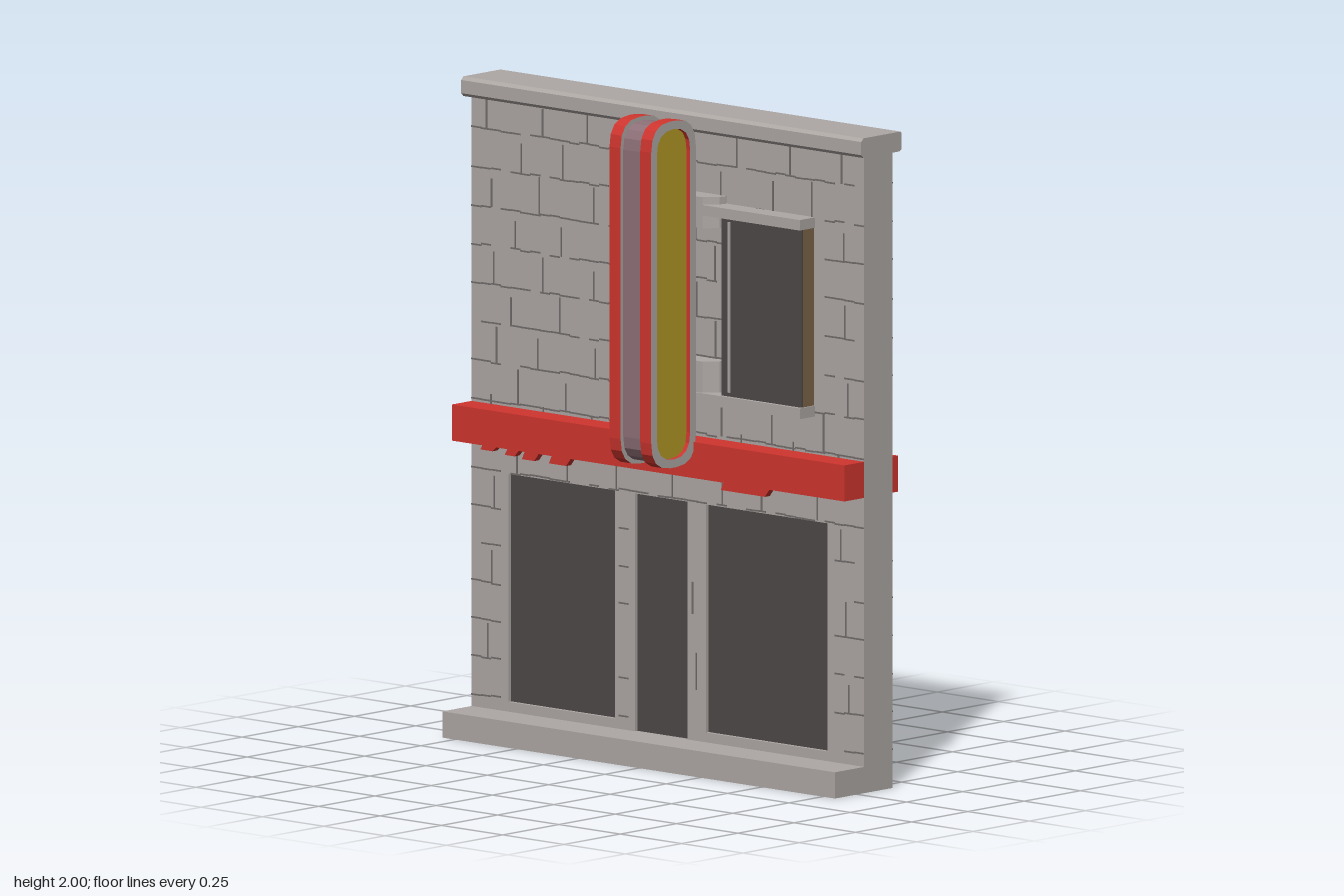
import * as THREE from 'three';
import { mergeGeometries } from 'three/addons/utils/BufferGeometryUtils.js';

const mat = (name, color) => {
  const m = new THREE.MeshStandardMaterial({ color });
  m.name = name;
  return m;
};

export function createModel() {
  const group = new THREE.Group();
  const stone = mat('stone', 0xaea8a5);
  const mortar = mat('mortar', 0x716d6b);
  const red = mat('red', 0xcf352e);
  const glass = mat('dark glass', 0x4d4947);
  const wood = mat('brown wood', 0x7c6446);
  const yellow = mat('yellow', 0xb39825);
  const mauve = mat('mauve', 0x8e7078);

  const add = (name, geo, material) => {
    const mesh = new THREE.Mesh(geo, material);
    mesh.name = name;
    group.add(mesh);
    return mesh;
  };
  // Box given by its limits on each axis
  const boxGeo = (x0, x1, y0, y1, z0, z1) =>
    new THREE.BoxGeometry(x1 - x0, y1 - y0, z1 - z0)
      .translate((x0 + x1) / 2, (y0 + y1) / 2, (z0 + z1) / 2);
  const box = (name, material, ...b) => add(name, boxGeo(...b), material);
  const polygon = pts => new THREE.Shape(pts.map(p => new THREE.Vector2(...p)));
  const rect = ([x0, x1, y0, y1]) => polygon([[x0, y0], [x1, y0], [x1, y1], [x0, y1]]);
  const extrude = (shape, depth, curveSegments = 3) =>
    new THREE.ExtrudeGeometry(shape, { depth, curveSegments, bevelEnabled: false });

  // Wall with its openings
  const FRONT = -0.03, BACK = -0.155;
  const shopA = [-0.65, -0.215, 0.11, 0.805];
  const shopB = [0.155, 0.65, 0.11, 0.805];
  const door = [-0.135, 0.08, 0.08, 0.805];
  const upper = [0.27, 0.595, 1.15, 1.7];
  const openings = [shopA, shopB, door, upper];
  const wall = rect([-0.8, 0.8, 0, 1.96]);
  wall.holes = openings.map(rect);
  add('wall', extrude(wall, FRONT - BACK).translate(0, 0, BACK), stone);

  // Plinth and cornice
  box('plinth', stone, -0.8, 0.8, 0, 0.08, FRONT, 0.1);
  const corniceSection = polygon([[-0.18, 1.945], [-0.17, 1.94], [-0.01, 1.94],
    [0, 1.95], [0, 1.99], [-0.01, 2], [-0.175, 2], [-0.18, 1.995]]);
  add('cornice', extrude(corniceSection, 1.63).rotateY(-Math.PI / 2).translate(0.815, 0, 0), stone);

  // Ground floor windows and door: dark outside, wood inside
  for (const [name, [x0, x1, y0, y1], inside] of
    [['shopWindowRight', shopA, wood], ['shopWindowLeft', shopB, wood], ['door', door, glass]]) {
    box(name + 'Outside', glass, x0, x1, y0, y1, -0.09, -0.042);
    box(name + 'Inside', inside, x0, x1, y0, y1, inside === wood ? -0.145 : -0.125, -0.09);
  }

  // Masonry joints, drawn as thin strips on both faces
  let seed = 7;
  const rand = () => (seed = (seed * 16807) % 2147483647) / 2147483647;
  const strips = [];
  const strip = (x0, x1, y0, y1, z) => strips.push(boxGeo(x0, x1, y0, y1, z - 0.002, z + 0.002));
  const courses = [];
  for (let i = 0; i < 8; i++) courses.push(0.12 + i * 0.115, 1.02 + i * 0.118);
  for (const z of [FRONT, BACK]) {
    courses.forEach((y, row) => {
      const height = 0.116;
      const blocked = (x, lo, hi) => openings.some(o =>
        x > o[0] - 0.015 && x < o[1] + 0.015 && hi > o[2] - 0.005 && lo < o[3] + 0.005);
      // Bed joint, broken into slightly uneven lengths
      for (let x = -0.8; x < 0.79; x += 0.04) {
        const dy = (rand() - 0.5) * 0.006;
        if (!blocked(x, y, y) && !blocked(x + 0.04, y, y) && rand() > 0.12)
          strip(x, x + 0.04, y + dy - 0.0025, y + dy + 0.0025, z);
      }
      // Upright joints
      const shift = (row >> 1) % 2 ? 0.1 : 0;
      for (let x = -0.62 - shift; x < 0.76; x += 0.205) {
        const px = x + (rand() - 0.5) * 0.05;
        if (!blocked(px, y, y + height) && y + height < 1.97 && Math.abs(px) < 0.78)
          strip(px - 0.0025, px + 0.0025, y, y + height * (0.75 + 0.25 * rand()), z);
      }
    });
  }
  add('masonryJoints', mergeGeometries(strips), mortar);

  // Red fascia on both faces, with paint drips under the front one
  box('fasciaFront', red, -0.8, 0.8, 0.9, 1.01, FRONT, 0.058);
  box('fasciaBack', red, -0.8, 0.8, 0.9, 1.01, -0.18, BACK);
  const drips = [[-0.71, 0.05, 0.02], [-0.61, 0.04, 0.025], [-0.54, 0.05, 0.03],
    [-0.43, 0.07, 0.03], [0.27, 0.18, 0.03], [0.4, 0.05, 0.022]];
  add('paintDrips', mergeGeometries(drips.map(([x, w, h]) =>
    extrude(polygon([[x, 0.9 - h], [x + w, 0.9 - h], [x + w + 0.025, 0.902], [x + 0.015, 0.902]]), 0.022)
      .translate(0, 0, 0.008))), red);

  // Upper window: wooden casing through the wall, glazed outside, framed inside
  const [ux0, ux1, uy0, uy1] = upper;
  const ring = (inset) => {
    const s = rect(upper);
    s.holes.push(rect([ux0 + inset, ux1 - inset, uy0 + inset, uy1 - inset]));
    return s;
  };
  box('upperWindowCasing', wood, ux0, ux1, uy0, uy1, -0.19, 0.018);
  box('upperWindowGlass', glass, ux0, ux1, uy0, uy1, 0.018, 0.026);
  box('upperWindowGlazingBar', stone, 0.297, 0.306, uy0 + 0.02, uy1 - 0.01, 0.024, 0.029);
  add('upperWindowInnerFrame', extrude(ring(0.045), 0.022).translate(0, 0, -0.212), wood);
  add('upperWindowInnerBead', extrude(ring(0.07), 0.01).translate(0, 0, -0.198), wood);

  // Lintel, sill and tapered end stones on both faces
  box('lintelFront', stone, 0.2, 0.6, 1.7, 1.732, FRONT, 0.038);
  box('lintelBack', stone, 0.2, 0.6, 1.7, 1.738, -0.218, BACK);
  box('sillFront', stone, 0.03, 0.6, 1.125, 1.158, FRONT, 0.038);
  box('sillBack', stone, 0.015, 0.6, 1.125, 1.158, -0.235, BACK);
  const endStone = (z0, z1) => polygon([[0.015, z0], [0.24, z0],
    [0.235, z0 + (z1 - z0) * 0.4], [0.2, z1], [0.03, z1], [0.015, z0 + (z1 - z0) * 0.5]]);
  for (const [name, top] of [['upperEndStone', 1.755], ['lowerEndStone', 1.254]])
    for (const [face, z0, z1] of [['Front', FRONT, 0.035], ['Back', BACK, -0.245]])
      add(name + face, extrude(endStone(z0, z1), 0.095)
        .rotateX(Math.PI / 2).translate(0, top, 0), stone);

  // Projecting sign: red rims with pale edges, mauve core and yellow panels
  const signOutline = (d) => {
    const z0 = 0.048 + d, z1 = 0.246 - d, y0 = 0.943 + d, y1 = 2 - d, r = 0.085 - d * 0.5;
    const s = new THREE.Shape();
    s.moveTo(z0 + r, y0).lineTo(z1 - r, y0).quadraticCurveTo(z1, y0, z1, y0 + r)
      .lineTo(z1, y1 - r).quadraticCurveTo(z1, y1, z1 - r, y1)
      .lineTo(z0 + r, y1).quadraticCurveTo(z0, y1, z0, y1 - r)
      .lineTo(z0, y0 + r).quadraticCurveTo(z0, y0, z0 + r, y0);
    return s;
  };
  const signSlab = (name, shape, x0, x1, material) =>
    add(name, extrude(shape, x1 - x0, 4).rotateY(-Math.PI / 2).translate(x1, 0, 0), material);
  const rim = signOutline(0);
  rim.holes.push(signOutline(0.025));
  signSlab('signRimRight', rim, 0.015, 0.06, [stone, red]);
  signSlab('signRimLeft', rim, 0.14, 0.185, [stone, red]);
  signSlab('signCore', signOutline(0.012), 0.06, 0.14, mauve);
  signSlab('signPanels', signOutline(0.025), 0.03, 0.17, yellow);

  return group;
}
